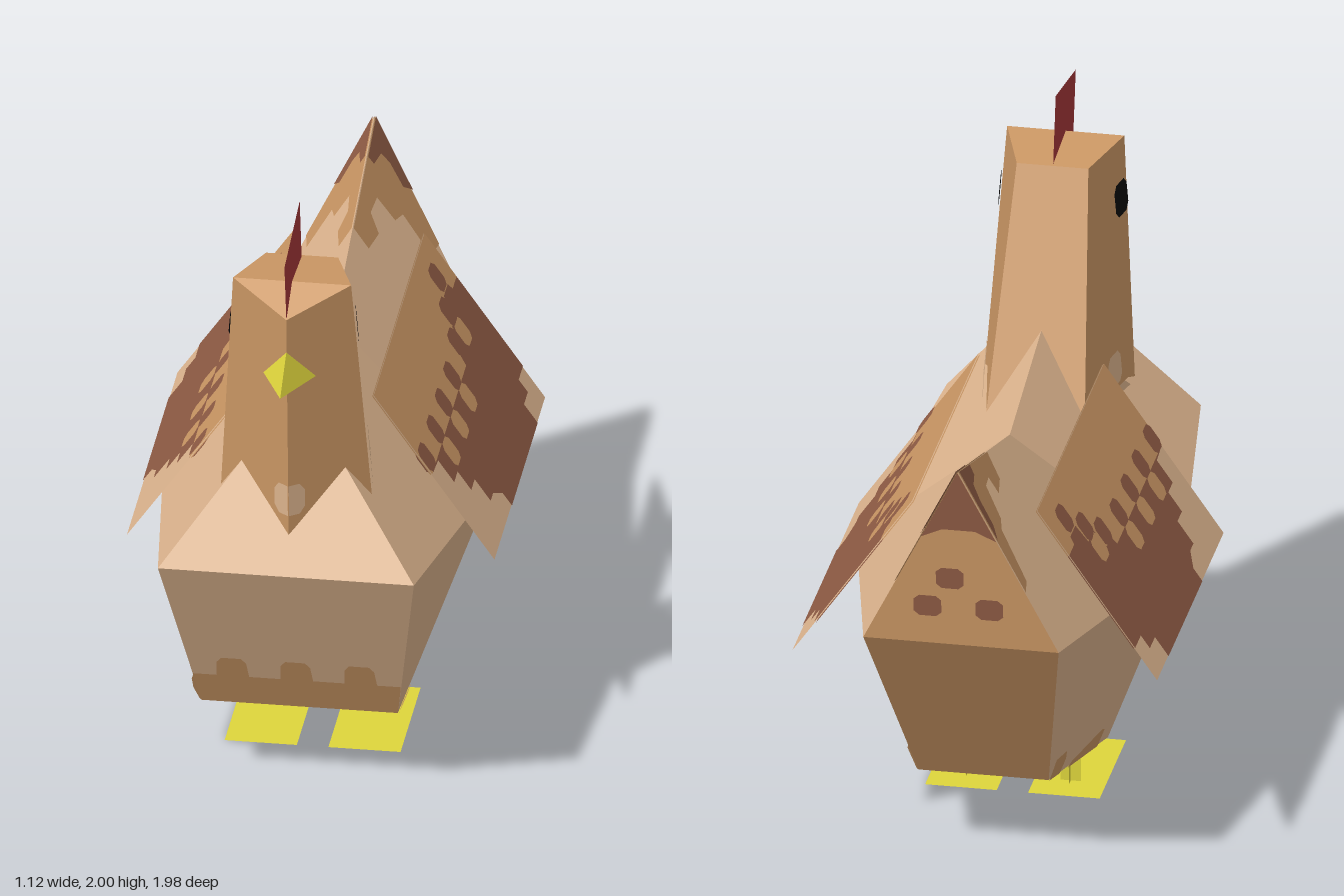
import * as THREE from 'three';

const paint = (name, color) => {
  const m = new THREE.MeshStandardMaterial({ color, side: THREE.DoubleSide });
  m.name = name;
  return m;
};
const V = (p) => new THREE.Vector3(...p);
const flip = ([x, y, z]) => [-x, y, z];
const mirrorFace = ([a, ...rest]) => [a, ...rest.reverse()].map(flip);
const bothSides = (polys) => [...polys, ...polys.map(mirrorFace)];

// Mesh from flat triangles and quads, one normal per face
function faces(name, material, polys) {
  const pos = [], nor = [];
  for (const poly of polys) {
    const [a, b, c, d] = poly.map(V);
    const n = d ? c.clone().sub(a).cross(d.clone().sub(b)) : b.clone().sub(a).cross(c.clone().sub(a));
    n.normalize();
    for (const p of d ? [a, b, c, a, c, d] : [a, b, c]) {
      pos.push(p.x, p.y, p.z);
      nor.push(n.x, n.y, n.z);
    }
  }
  const g = new THREE.BufferGeometry();
  g.setAttribute('position', new THREE.Float32BufferAttribute(pos, 3));
  g.setAttribute('normal', new THREE.Float32BufferAttribute(nor, 3));
  const mesh = new THREE.Mesh(g, material);
  mesh.name = name;
  return mesh;
}

// Painted patches: outlines in (z,y) or (x,y) projected onto the plane of a face
function patches(name, material, outlines, plane, { axis = 'x', lift = 0.003, mirror = true } = {}) {
  const [a, b, c] = plane.map(V);
  const n = b.clone().sub(a).cross(c.clone().sub(a)).normalize();
  const polys = [];
  for (const outline of outlines) {
    const pts = outline.map(([h, v]) => {
      const p = axis === 'x' ? new THREE.Vector3(0, v, h) : new THREE.Vector3(h, v, 0);
      p[axis] = n.dot(a.clone().sub(p)) / n[axis];
      return p.addScaledVector(n, lift);
    });
    const flat = outline.map(([h, v]) => new THREE.Vector2(h, v));
    for (const t of THREE.ShapeUtils.triangulateShape(flat, [])) {
      let [p, q, r] = t.map((i) => pts[i]);
      if (q.clone().sub(p).cross(r.clone().sub(p)).dot(n) * lift < 0) [q, r] = [r, q];
      polys.push([p.toArray(), q.toArray(), r.toArray()]);
    }
  }
  return faces(name, material, mirror ? bothSides(polys) : polys);
}

// Square with clipped corners
function spot(h, v, w = 0.085, t = 0.07) {
  const x = w / 2, y = t / 2, k = 0.6;
  return [[-x, -y * k], [-x * k, -y], [x * k, -y], [x, -y * k], [x, y * k], [x * k, y], [-x * k, y], [-x, y * k]]
    .map(([i, j]) => [h + i, v + j]);
}

export function createModel() {
  const tan = paint('tan feather', 0xdfb68f);
  const orange = paint('golden brown feather', 0xcc9865);
  const brown = paint('dark brown feather', 0x905c45);
  const red = paint('comb red', 0xa63739);
  const yellow = paint('beak yellow', 0xded53c);
  const black = paint('eye black', 0x0a0a0a);
  const hen = new THREE.Group();
  hen.name = 'hen';

  // Body corners on the +x side and along the ridge
  const beltFront = [0.39, 0.87, 0.87], beltMid = [0.5, 0.76, 0], beltRear = [0.3, 0.87, -0.93];
  const lowFront = [0.3, 0.28, 0.58], lowMid = [0.27, 0.15, 0.01], lowRear = [0.2, 0.27, -0.57];
  const chestTop = [0, 1.38, 0.6], saddle = [0, 1.21, -0.15], tailTip = [0, 1.47, -0.985];
  const chest = [flip(lowFront), lowFront, beltFront, flip(beltFront)];
  const tailBack = [beltRear, flip(beltRear), tailTip];
  const tailSide = [beltRear, tailTip, saddle];

  const body = new THREE.Group();
  body.name = 'body';
  body.add(
    faces('bodySides', tan, [
      ...bothSides([
        [beltFront, beltMid, saddle, chestTop],
        [beltRear, tailTip, saddle, beltMid],
        [lowFront, lowMid, beltMid, beltFront],
        [lowRear, beltRear, beltMid, lowMid],
      ]),
      chest,
      [flip(beltFront), beltFront, chestTop],
    ]),
    faces('undersideAndRump', orange, [
      [flip(lowFront), flip(lowMid), lowMid, lowFront],
      [flip(lowMid), flip(lowRear), lowRear, lowMid],
      [lowRear, flip(lowRear), flip(beltRear), beltRear],
      tailBack,
    ]),
  );

  // Scalloped chest band
  const band = [[-0.3, 0.28], [0.3, 0.28], [0.317, 0.4]];
  for (const x of [0.195, 0, -0.195]) {
    band.push([x + 0.05, 0.4], [x + 0.045, 0.46], [x + 0.03, 0.48], [x - 0.03, 0.48], [x - 0.045, 0.46], [x - 0.05, 0.4]);
  }
  band.push([-0.317, 0.4]);
  body.add(
    patches('chestBand', orange, [band], chest, { axis: 'z', mirror: false }),
    patches('bellyPatchFront', orange, [
      [[0.58, 0.28], [0.47, 0.257], [0.47, 0.32], [0.5, 0.34], [0.58, 0.35], [0.6, 0.33]],
      [[0.38, 0.236], [0.19, 0.192], [0.19, 0.225], [0.3, 0.24]],
    ], [lowFront, lowMid, beltMid]),
    patches('bellyPatchRear', orange, [
      [[-0.1, 0.172], [-0.1, 0.23], [-0.13, 0.245], [-0.37, 0.245], [-0.39, 0.231]],
      [[-0.47, 0.249], [-0.47, 0.3], [-0.5, 0.34], [-0.59, 0.35], [-0.57, 0.27]],
    ], [lowRear, beltMid, lowMid]),
  );

  // Tail markings
  body.add(
    patches('tailGold', orange, [[
      [-0.53, 1.327], [-0.55, 1.25], [-0.65, 1.25], [-0.67, 1.31], [-0.75, 1.32], [-0.78, 1.23],
      [-0.84, 1.22], [-0.87, 1.07], [-0.948, 1.07], [-0.985, 1.47],
    ]], tailSide),
    patches('tailDarkSides', brown, [[
      [-0.82, 1.418], [-0.83, 1.39], [-0.9, 1.39], [-0.92, 1.35], [-0.92, 1.27], [-0.964, 1.24], [-0.985, 1.47],
    ]], tailSide, { lift: 0.006 }),
    patches('tailDarkBack', brown, [
      [[-0.115, 1.24], [-0.05, 1.27], [0.05, 1.27], [0.115, 1.24], [0, 1.47]],
      spot(0.03, 1.1), spot(-0.09, 1.0), spot(0.1, 1.0),
    ], tailBack, { axis: 'z', mirror: false }),
  );
  hen.add(body);

  // Wings: thin sheets with markings on both faces
  const wing = [[0.56, 0.7, 0.35], [0.56, 0.7, -0.71], [0.19, 1.23, -0.71], [0.19, 1.23, 0.35]];
  const wings = new THREE.Group();
  wings.name = 'wings';
  wings.add(faces('wingSheets', tan, bothSides([wing])));
  const edge = [[0.35, 0.975], [-0.36, 0.975], [-0.37, 1.0], [-0.44, 1.0], [-0.45, 1.055], [-0.53, 1.055],
    [-0.54, 1.11], [-0.62, 1.11], [-0.63, 1.09], [-0.71, 1.09]];
  const gold = [[0.35, 1.23], ...edge, [-0.71, 1.23]];
  const dark = [...edge, [-0.71, 0.8], [-0.62, 0.8], [-0.62, 0.76], [-0.54, 0.76], [-0.54, 0.7], [0, 0.7], [0, 0.74],
    [0.06, 0.77], [0.11, 0.77], [0.11, 0.84], [0.18, 0.84], [0.18, 0.9], [0.25, 0.9], [0.25, 0.97]];
  const darkSpots = [[0.31, 1.01], [0.13, 1.01], [-0.045, 1.01], [-0.22, 1.01], [-0.4, 1.03], [-0.49, 1.085], [-0.58, 1.15]];
  const goldSpots = [[0.13, 0.94], [-0.045, 0.94], [-0.22, 0.94], [-0.49, 1.02]];
  for (const s of [1, -1]) {
    wings.add(
      patches('wingGold', orange, [gold], wing.slice(0, 3), { lift: 0.003 * s }),
      patches('wingDark', brown, [dark], wing.slice(0, 3), { lift: 0.003 * s }),
      patches('wingDarkSpots', brown, darkSpots.map(([z, y]) => spot(z, y)), wing.slice(0, 3), { lift: 0.006 * s }),
      patches('wingGoldSpots', orange, goldSpots.map(([z, y]) => spot(z, y)), wing.slice(0, 3), { lift: 0.006 * s }),
    );
  }
  hen.add(wings);

  // Neck and head: tapering five-sided column
  const f0 = [0, 0.9, 0.805], f1 = [0, 1.74, 0.86];
  const s0 = [0.24, 0.9, 0.63], s1 = [0.18, 1.81, 0.74];
  const k0 = [0.162, 0.9, 0.19], k1 = [0.11, 1.79, 0.53];
  const head = new THREE.Group();
  head.name = 'head';
  head.add(
    faces('neck', orange, [
      ...bothSides([[s0, k0, k1, s1], [f0, s0, s1, f1]]),
      [k0, flip(k0), flip(k1), k1],
      [flip(s1), s1, k1, flip(k1)],
      [f1, s1, flip(s1)],
    ]),
    patches('eyes', black, [spot(0.66, 1.64, 0.1, 0.105)], [s0, k0, s1], { lift: 0.006 }),
    patches('neckSideFlecks', tan, [
      spot(0.495, 1.145, 0.1, 0.1),
      [[0.6, 1.05], [0.36, 1.07], [0.4, 1.09], [0.56, 1.08]],
    ], [s0, k0, s1], { lift: 0.005 }),
    patches('neckFrontFleck', tan, [
      [[0, 1.05], [0.03, 1.05], [0.045, 1.075], [0.045, 1.13], [0.03, 1.155], [0, 1.155]],
    ], [f0, s0, f1], { axis: 'z' }),
    faces('comb', red, [[[0, 1.74, 0.86], [0, 1.79, 0.54], [0, 2, 0.58], [0, 1.94, 0.9]]]),
  );

  // Beak
  const tip = [0, 1.54, 0.99], top = [0, 1.63, 0.86], base = [0.08, 1.52, 0.79];
  head.add(faces('beak', yellow, [...bothSides([[tip, base, top]]), [tip, flip(base), base]]));
  hen.add(head);

  // Legs of two crossed strips, with flat feet
  for (const side of [1, -1]) {
    const leg = new THREE.Group();
    leg.name = side > 0 ? 'leftLeg' : 'rightLeg';
    for (const turn of [0, Math.PI / 2]) {
      const strip = new THREE.Mesh(new THREE.PlaneGeometry(0.062, 0.155), yellow);
      strip.name = 'shank';
      strip.position.y = 0.078;
      strip.rotation.y = turn;
      leg.add(strip);
    }
    const foot = new THREE.Mesh(new THREE.PlaneGeometry(0.22, 0.42).rotateX(-Math.PI / 2), yellow);
    foot.name = 'foot';
    foot.position.set(0, 0.001, 0.1);
    leg.add(foot);
    leg.position.x = side * 0.158;
    hen.add(leg);
  }
  return hen;
}
